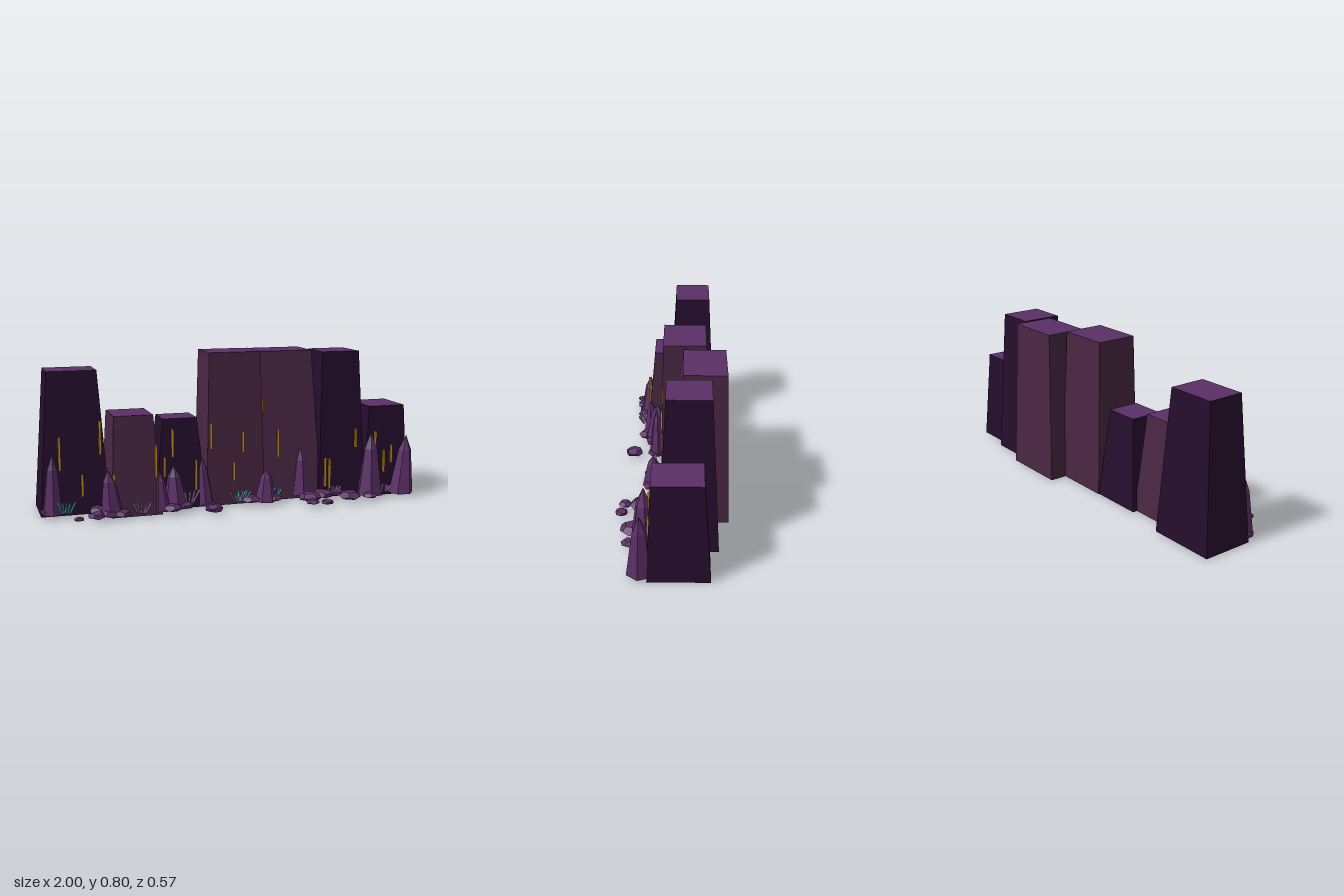
import * as THREE from 'three';

const mat = (name, color, extra = {}) => {
  const m = new THREE.MeshStandardMaterial({ color, flatShading: true, ...extra });
  m.name = name;
  return m;
};

export function createModel() {
  const group = new THREE.Group();
  const dark = mat('darkStone', 0x260e2e, { side: THREE.DoubleSide });
  const mauve = mat('mauveStone', 0x492742, { side: THREE.DoubleSide });
  const purple = mat('purpleStone', 0x5b2f66);
  const gold = mat('goldVein', 0xc8921f);
  const teal = mat('tealCrystal', 0x4cc4bc);
  const lavender = mat('lavenderCrystal', 0xb48cc8);
  const GROUND = 0.016;

  let seed = 7;
  const rand = () => (seed = (seed * 16807) % 2147483647) / 2147483647;
  const add = (name, geometry, material, x = 0, y = 0, z = 0) => {
    const mesh = new THREE.Mesh(geometry, material);
    mesh.name = name;
    mesh.position.set(x, y, z);
    group.add(mesh);
    return mesh;
  };

  // Tapered cliff blocks, open underneath: base x0,x1,z0,z1, top x0,x1,z0,z1, height
  const blocks = [
    [[-1, -0.65, -0.235, 0.03], [-0.95, -0.70, -0.20, -0.01], 0.725, dark],
    [[-0.665, -0.405, -0.165, 0.15], [-0.64, -0.44, -0.12, 0.105], 0.505, mauve],
    [[-0.425, -0.145, -0.19, 0.06], [-0.37, -0.19, -0.15, 0.015], 0.465, dark],
    [[-0.15, 0.17, -0.195, 0.06], [-0.13, 0.147, -0.17, 0.045], 0.8, mauve],
    [[0.145, 0.5, -0.285, 0.04], [0.17, 0.47, -0.265, -0.055], 0.79, mauve],
    [[0.48, 0.75, -0.23, 0.06], [0.505, 0.715, -0.19, 0.022], 0.785, dark],
    [[0.725, 0.985, -0.188, 0.105], [0.755, 0.96, -0.155, 0.085], 0.49, dark],
  ];
  for (const [base, top, h, material] of blocks) {
    const g = new THREE.BoxGeometry(1, 1, 1);
    const p = g.attributes.position;
    for (let i = 0; i < p.count; i++) {
      const r = p.getY(i) > 0 ? top : base;
      p.setXYZ(i, r[p.getX(i) > 0 ? 1 : 0], p.getY(i) > 0 ? h : 0, r[p.getZ(i) > 0 ? 3 : 2]);
    }
    const idx = Array.from(g.index.array);
    g.setIndex([...idx.slice(0, 12), ...idx.slice(24, 36), ...idx.slice(12, 18)]);
    g.clearGroups();
    g.addGroup(0, 24, 0);
    g.addGroup(24, 6, 1);
    g.computeVertexNormals();
    add('cliffBlock', g, [material, purple]);
  }

  // Front surface of the cliff at a given x and height
  const lerp = THREE.MathUtils.lerp;
  const frontZ = (x, y) => {
    let z = -1;
    for (const [b, t, h] of blocks) {
      const k = y / h;
      if (k <= 1 && x > lerp(b[0], t[0], k) - 0.01 && x < lerp(b[1], t[1], k) + 0.01)
        z = Math.max(z, lerp(b[3], t[3], k));
    }
    return z;
  };

  // Gold veins: x, bottom, top
  const veins = [
    [-0.9, 0.23, 0.4], [-0.79, 0.09, 0.205], [-0.695, 0.3, 0.47], [-0.65, 0.15, 0.22],
    [-0.435, 0.19, 0.355], [-0.37, 0.17, 0.27], [-0.325, 0.27, 0.415], [-0.205, 0.09, 0.25],
    [-0.125, 0.3, 0.435], [0, 0.125, 0.225], [0.05, 0.275, 0.385], [0.175, 0.44, 0.545],
    [0.26, 0.23, 0.38], [0.515, 0.06, 0.215], [0.54, 0.05, 0.21], [0.695, 0.265, 0.365],
    [0.79, 0.27, 0.355], [0.84, 0.13, 0.25], [0.885, 0.18, 0.275],
  ];
  for (const [x, y0, y1] of veins) {
    const y = (y0 + y1) / 2;
    add('goldVein', new THREE.BoxGeometry(0.012, y1 - y0, 0.009), gold, x, y, frontZ(x, y0) + 0.003);
  }

  // Faceted rock spires: x, z, radius, height, sideways lean of the tip
  const spires = [
    [-0.945, 0.04, 0.055, 0.305, 0.005], [-0.66, 0.14, 0.06, 0.23, -0.02],
    [-0.405, 0.13, 0.042, 0.205, -0.01], [-0.325, 0.09, 0.065, 0.22, -0.01],
    [-0.16, 0.09, 0.042, 0.26, -0.025], [0.16, 0.1, 0.058, 0.17, 0.005],
    [0.39, 0.01, 0.058, 0.255, 0], [0.75, 0.125, 0.072, 0.34, 0],
    [0.93, 0.135, 0.068, 0.315, 0.025],
  ];
  spires.forEach(([x, z, r, h, lean], n) => {
    const profile = [[0, 0], [r, 0], [r * 0.52, h * 0.74], [0, h]].map(([a, b]) => new THREE.Vector2(a, b));
    const g = new THREE.LatheGeometry(profile, 6, n * 0.7);
    const p = g.attributes.position;
    for (let i = 0; i < p.count; i++) p.setX(i, p.getX(i) + (lean * p.getY(i)) / h);
    g.computeVertexNormals();
    add('rockSpire', g, purple, x, GROUND, z);
  });

  // Flat-bottomed rubble: x, z, radius
  const rocks = [
    [-0.955, 0.04, 0.05], [-0.835, 0.2, 0.025], [-0.745, 0.18, 0.045], [-0.72, 0.08, 0.05],
    [-0.68, 0.16, 0.05], [-0.62, 0.17, 0.045], [-0.36, 0.15, 0.05], [-0.28, 0.11, 0.045],
    [-0.155, 0.215, 0.048], [-0.155, 0.1, 0.04], [0.08, 0.1, 0.05], [0.2, 0.1, 0.05],
    [0.39, 0.155, 0.06], [0.48, 0.11, 0.055], [0.375, 0.235, 0.035], [0.45, 0.25, 0.033],
    [0.605, 0.19, 0.06], [0.715, 0.2, 0.038], [0.57, 0.08, 0.05], [0.79, 0.1, 0.045],
  ];
  for (const [x, z, r] of rocks) {
    const g = new THREE.DodecahedronGeometry(r, 0);
    g.rotateX(rand() * 3).rotateY(rand() * 6);
    const p = g.attributes.position;
    for (let i = 0; i < p.count; i++) p.setY(i, Math.max(0, p.getY(i) * 0.5 + r * 0.25));
    g.computeVertexNormals();
    add('rubbleRock', g, purple, x, GROUND, z);
  }

  // Fans of small crystals: x, z, height, material
  const clusters = [
    [-0.88, 0.06, 0.09, teal], [0.03, 0.09, 0.085, teal], [0.23, 0.04, 0.075, teal],
    [-0.52, 0.165, 0.08, lavender], [-0.25, 0.075, 0.11, lavender], [0.01, 0.085, 0.08, lavender],
    [0.55, 0.09, 0.06, lavender], [0.84, 0.12, 0.06, lavender],
  ];
  for (const [x, z, h, material] of clusters) {
    for (let i = 0; i < 5; i++) {
      const len = h * (0.65 + 0.35 * rand());
      const profile = [[0, 0], [0.005, 0], [0.006, len * 0.75], [0, len]].map(([a, b]) => new THREE.Vector2(a, b));
      const c = add('crystal', new THREE.LatheGeometry(profile, 5), material,
        x + (i - 2) * 0.009, GROUND + 0.006, z + (rand() - 0.3) * 0.02);
      c.rotation.set(0.15 + rand() * 0.3, 0, -(i - 2) * 0.2);
    }
  }
  return group;
}
